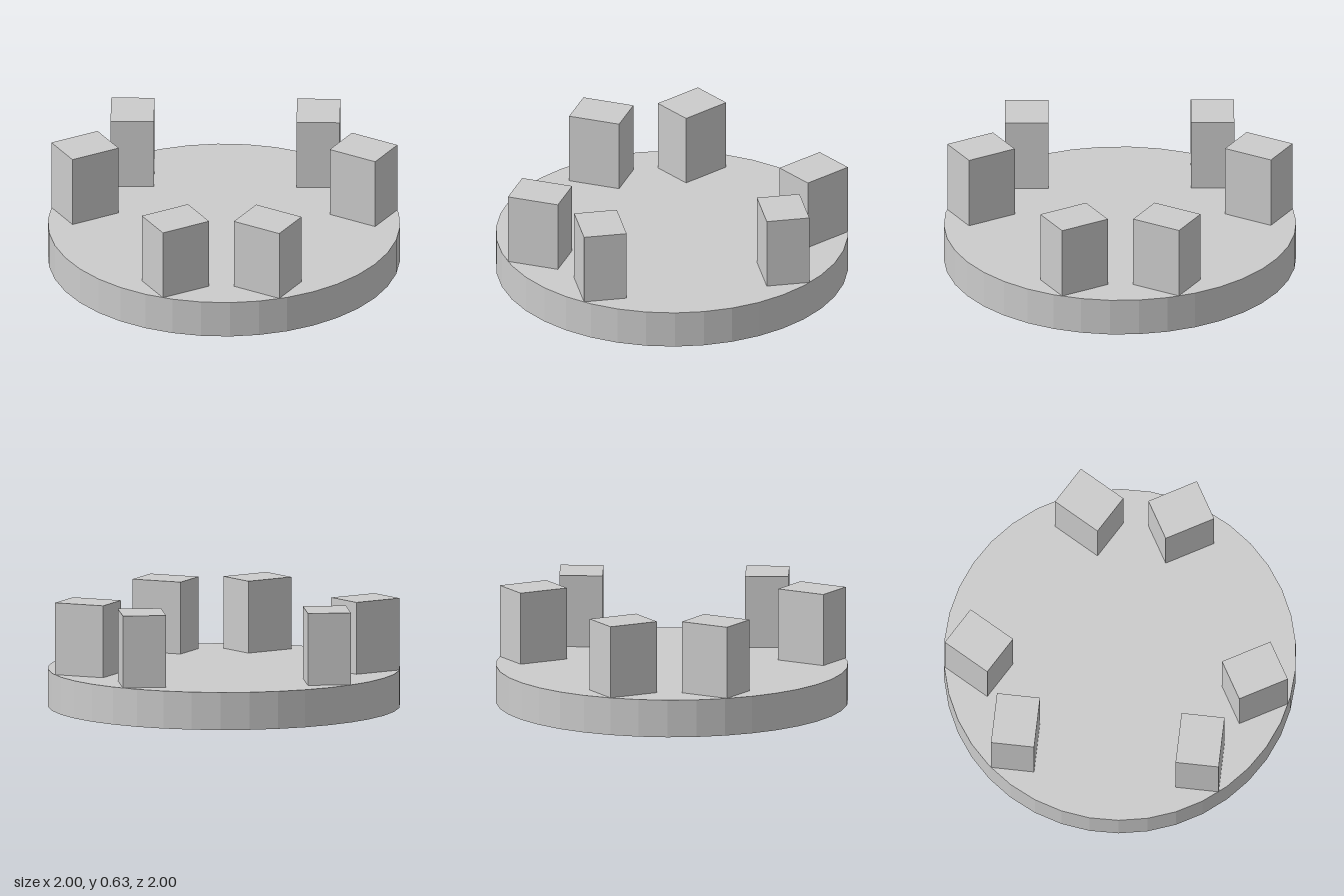
import * as THREE from 'three';

const BASE_HEIGHT = 0.215;
const TOP = 0.627;

export function createModel() {
  const model = new THREE.Group();
  model.name = 'discWithBlocks';
  const material = new THREE.MeshStandardMaterial({ color: 0xcccccc, flatShading: true });

  // Faceted round base
  const base = new THREE.Mesh(
    new THREE.CylinderGeometry(1, 1, BASE_HEIGHT, 38, 1, false, THREE.MathUtils.degToRad(1.3)),
    material
  );
  base.name = 'base';
  base.position.y = BASE_HEIGHT / 2;
  model.add(base);

  // Three pairs of upright blocks around the rim, mirrored front to back
  const blockGeometry = new THREE.BoxGeometry(0.3, TOP - BASE_HEIGHT, 0.246);
  const blocks = [
    { x: -0.609, z: 0.527, turn: 0 },
    { x: -0.155, z: 0.788, turn: -Math.PI / 3 },
    { x: 0.76, z: 0.263, turn: -Math.PI / 3 },
  ];
  blocks.forEach(({ x, z, turn }, i) => {
    for (const side of [1, -1]) {
      const block = new THREE.Mesh(blockGeometry, material);
      block.name = `${side > 0 ? 'front' : 'back'}Block${i + 1}`;
      block.position.set(x, (TOP + BASE_HEIGHT) / 2, side * z);
      block.rotation.y = side * turn;
      model.add(block);
    }
  });

  return model;
}
